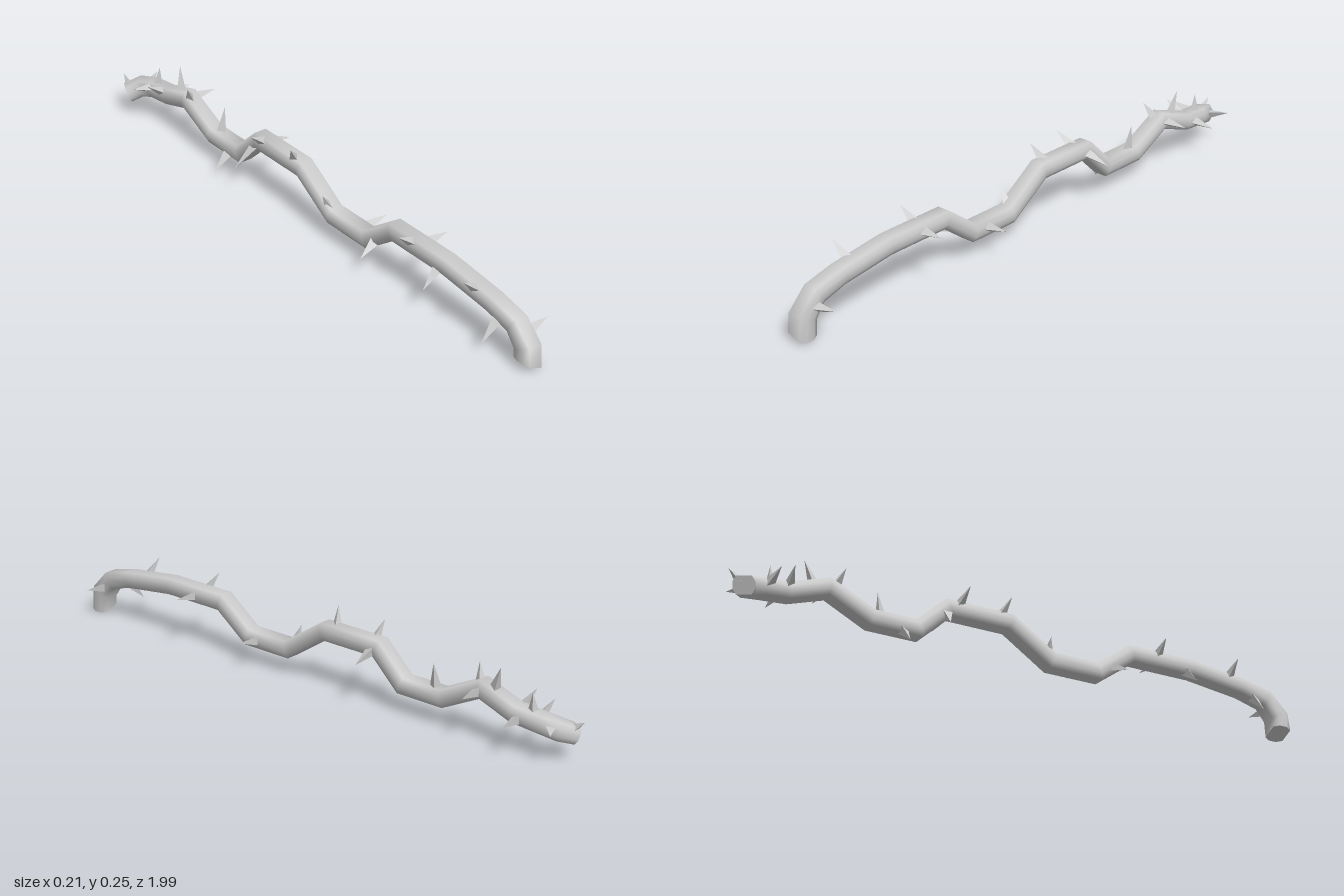
import * as THREE from 'three';

const HALF_WIDTH = 0.033;

// Boxy eight-sided cross-section, in units of half width and half height
const SECTION = [
  [1, -0.4], [1, 0.4], [0.7, 1], [-0.7, 1], [-1, 0.4], [-1, -0.4], [-0.7, -1], [0.7, -1],
];
const SIDES = SECTION.length;

// Centreline of the stem, front to back
const PATH = [
  [-0.009, 0.015, 0.966], [-0.009, 0.07, 0.961], [-0.009, 0.123, 0.914], [-0.009, 0.147, 0.82],
  [-0.009, 0.171, 0.626], [-0.009, 0.171, 0.39], [-0.009, 0.083, 0.27], [-0.009, 0.083, 0.1],
  [-0.009, 0.182, -0.05], [-0.009, 0.182, -0.267], [-0.009, 0.088, -0.366], [-0.009, 0.088, -0.521],
  [-0.009, 0.158, -0.663], [-0.003, 0.118, -0.786], [-0.006, 0.11, -0.87],
  [-0.022, 0.097, -0.925], [-0.066, 0.077, -0.948],
].map(p => new THREE.Vector3(...p));

// Thorn tip x, y, z and the z where it grows from the stem
const THORNS = [
  [0.1, 0.107, 0.93, 0.94], [-0.09, 0.05, 0.855, 0.86], [-0.085, 0.215, 0.767, 0.765],
  [-0.085, 0.1, 0.6, 0.6], [-0.087, 0.225, 0.487, 0.49], [0.1, 0.177, 0.5, 0.5],
  [-0.1, 0.075, 0.333, 0.31], [0.1, 0.098, 0.222, 0.222], [-0.045, 0.155, 0.085, 0.09],
  [-0.055, 0.255, -0.06, -0.09], [-0.087, 0.24, -0.222, -0.235], [0.1, 0.153, -0.262, -0.25],
  [-0.1, 0.095, -0.295, -0.27], [-0.09, 0.013, -0.423, -0.42], [0.01, 0.195, -0.49, -0.485],
  [-0.045, 0.222, -0.62, -0.65], [0.1, 0.155, -0.667, -0.66], [0.008, 0.245, -0.735, -0.7],
  [-0.085, 0.17, -0.8, -0.79], [0.104, 0.107, -0.815, -0.81], [-0.107, 0.145, -0.85, -0.86],
  [0, 0.195, -0.845, -0.845], [0.064, 0.11, -0.955, -0.9], [-0.05, 0.127, -0.992, -0.94],
];

// One cross-section, mitred at the bends
function ring(i) {
  const last = PATH.length - 1;
  const into = PATH[Math.max(i, 1)].clone().sub(PATH[Math.max(i, 1) - 1]).normalize();
  const out = PATH[Math.min(i + 1, last)].clone().sub(PATH[Math.min(i, last - 1)]).normalize();
  const t = into.clone().add(out).normalize();
  const side = new THREE.Vector3(-t.z, 0, t.x).normalize();
  // the front cut stays level from front to back
  const up = i === 0 ? new THREE.Vector3(0, 0, 1) : side.clone().cross(t);
  const halfHeight = ([0.034, 0.033, 0.029][i] ?? 0.027) / t.dot(into);
  return SECTION.map(([u, v]) => {
    const p = PATH[i].clone()
      .addScaledVector(side, u * HALF_WIDTH)
      .addScaledVector(up, v * halfHeight);
    if (i === 0) p.y -= 0.45 * (p.x + 0.009); // slanted cut
    return p;
  });
}

function surface(points, index) {
  const g = new THREE.BufferGeometry().setFromPoints(points);
  g.setIndex(index);
  g.computeVertexNormals();
  return g;
}

function capGeometry(points, flip) {
  const index = [];
  for (let j = 1; j < SIDES - 1; j++) index.push(0, flip ? j + 1 : j, flip ? j : j + 1);
  return surface(points, index);
}

// Point on the centreline at a given z
function stemAt(z) {
  let i = 0;
  while (i < PATH.length - 2 && PATH[i + 1].z > z) i++;
  return PATH[i].clone().lerp(PATH[i + 1], (PATH[i].z - z) / (PATH[i].z - PATH[i + 1].z));
}

export function createModel() {
  const group = new THREE.Group();
  group.name = 'thornyVine';
  const material = new THREE.MeshStandardMaterial({ color: 0xcccccc });
  const thornMaterial = new THREE.MeshStandardMaterial({ color: 0xcccccc, flatShading: true });
  const add = (name, geometry, mat = material) => {
    const mesh = new THREE.Mesh(geometry, mat);
    mesh.name = name;
    group.add(mesh);
    return mesh;
  };

  // Stem
  const rings = PATH.map((_, i) => ring(i));
  const index = [];
  for (let i = 0; i < rings.length - 1; i++) {
    for (let j = 0; j < SIDES; j++) {
      const a = i * SIDES + j, b = i * SIDES + (j + 1) % SIDES;
      index.push(a, a + SIDES, b, b, a + SIDES, b + SIDES);
    }
  }
  add('stem', surface(rings.flat(), index));
  add('frontCut', capGeometry(rings[0], false));
  add('backCut', capGeometry(rings[rings.length - 1], true));

  // Thorns: three-sided spikes rooted inside the stem
  for (const [x, y, z, rootZ] of THORNS) {
    const tip = new THREE.Vector3(x, y, z);
    const root = stemAt(rootZ).lerp(tip, 0.15);
    const dir = tip.clone().sub(root);
    const thorn = add('thorn', new THREE.ConeGeometry(0.021, dir.length(), 3), thornMaterial);
    thorn.position.copy(root).add(tip).multiplyScalar(0.5);
    thorn.quaternion.setFromUnitVectors(new THREE.Vector3(0, 1, 0), dir.normalize());
  }
  return group;
}
